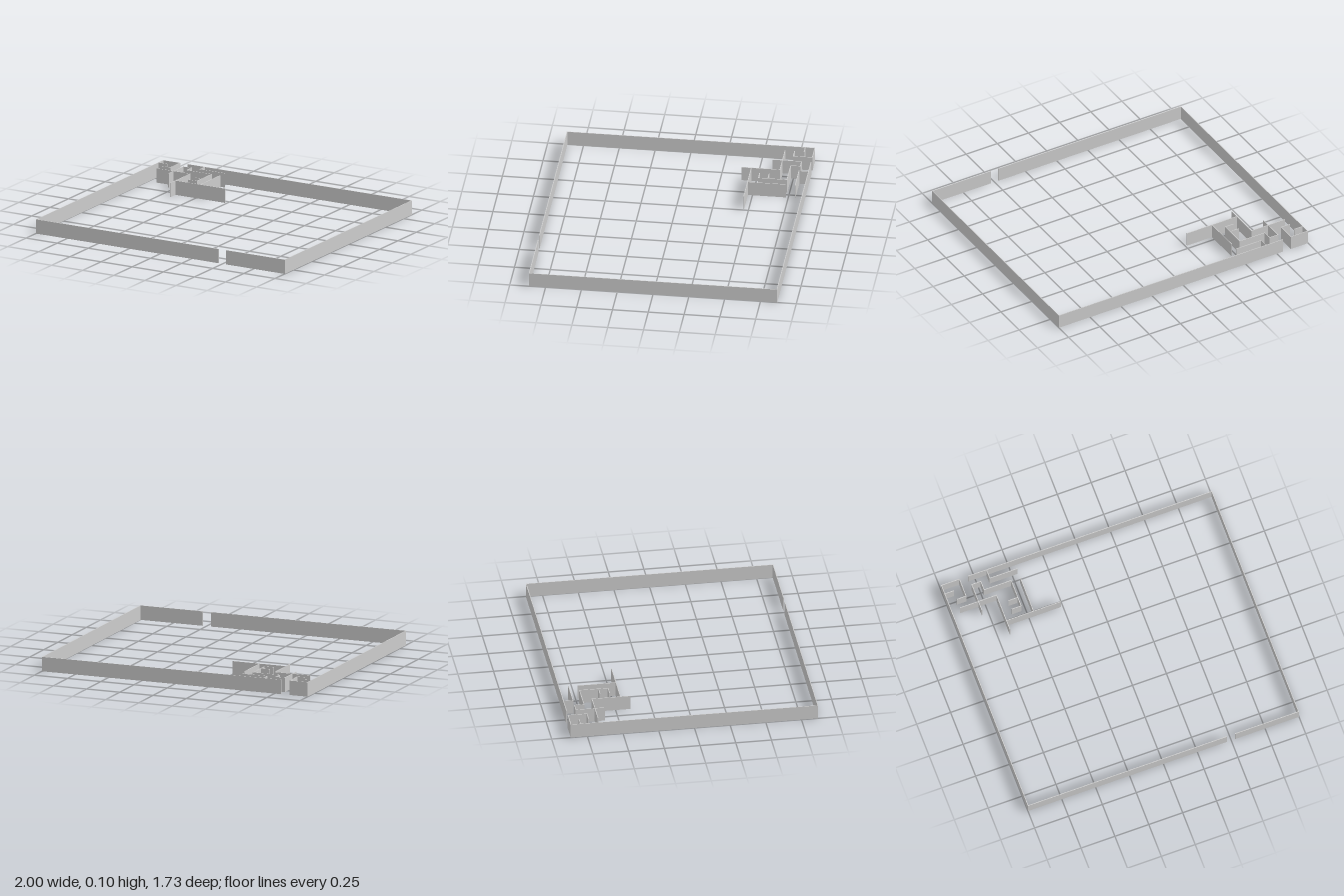
import * as THREE from 'three';

// Maze walls laid out on a 30 x 26 cell grid
const CELL = 0.0665, THICK = 0.005, HEIGHT = 0.102, COLS = 30, ROWS = 26;

// Each run: [column, row, column, row], from one grid corner to another
const outerRuns = [
  [0, 0, 2, 0], [3, 0, 30, 0],      // back, with exit gap
  [0, 26, 22, 26], [23, 26, 30, 26], // front, with entrance gap
  [0, 0, 0, 26], [30, 0, 30, 26],   // sides
];
const innerRuns = [
  [0, 1, 1, 1], [2, 0, 2, 2], [1, 2, 2, 2],               // corner nook
  [1, 3, 5, 3], [5, 3, 5, 7], [5, 6, 11, 6], [8, 2, 8, 6], // outer passage
  [3, 1, 3, 4], [3, 1, 4, 1], [4, 1, 4, 2], [4, 2, 7, 2],  // inner passage
  [7, 2, 7, 5], [6, 4, 7, 4], [6, 5, 7, 5],                // dead ends
  [5, 0, 5, 1], [5, 1, 8, 1],                              // back hook
];

export function createModel() {
  const model = new THREE.Group();
  model.name = 'maze';
  const material = new THREE.MeshStandardMaterial({ color: 0xcccccc, flatShading: true });

  function addWalls(groupName, wallName, runs) {
    const group = new THREE.Group();
    group.name = groupName;
    for (const [c0, r0, c1, r1] of runs) {
      const wall = new THREE.Mesh(
        new THREE.BoxGeometry((c1 - c0) * CELL + THICK, HEIGHT, (r1 - r0) * CELL + THICK),
        material
      );
      wall.name = wallName;
      wall.position.set(
        ((c0 + c1) / 2 - COLS / 2) * CELL,
        HEIGHT / 2,
        ((r0 + r1) / 2 - ROWS / 2) * CELL
      );
      group.add(wall);
    }
    model.add(group);
  }

  addWalls('outerWalls', 'outerWall', outerRuns);
  addWalls('innerWalls', 'innerWall', innerRuns);
  return model;
}
